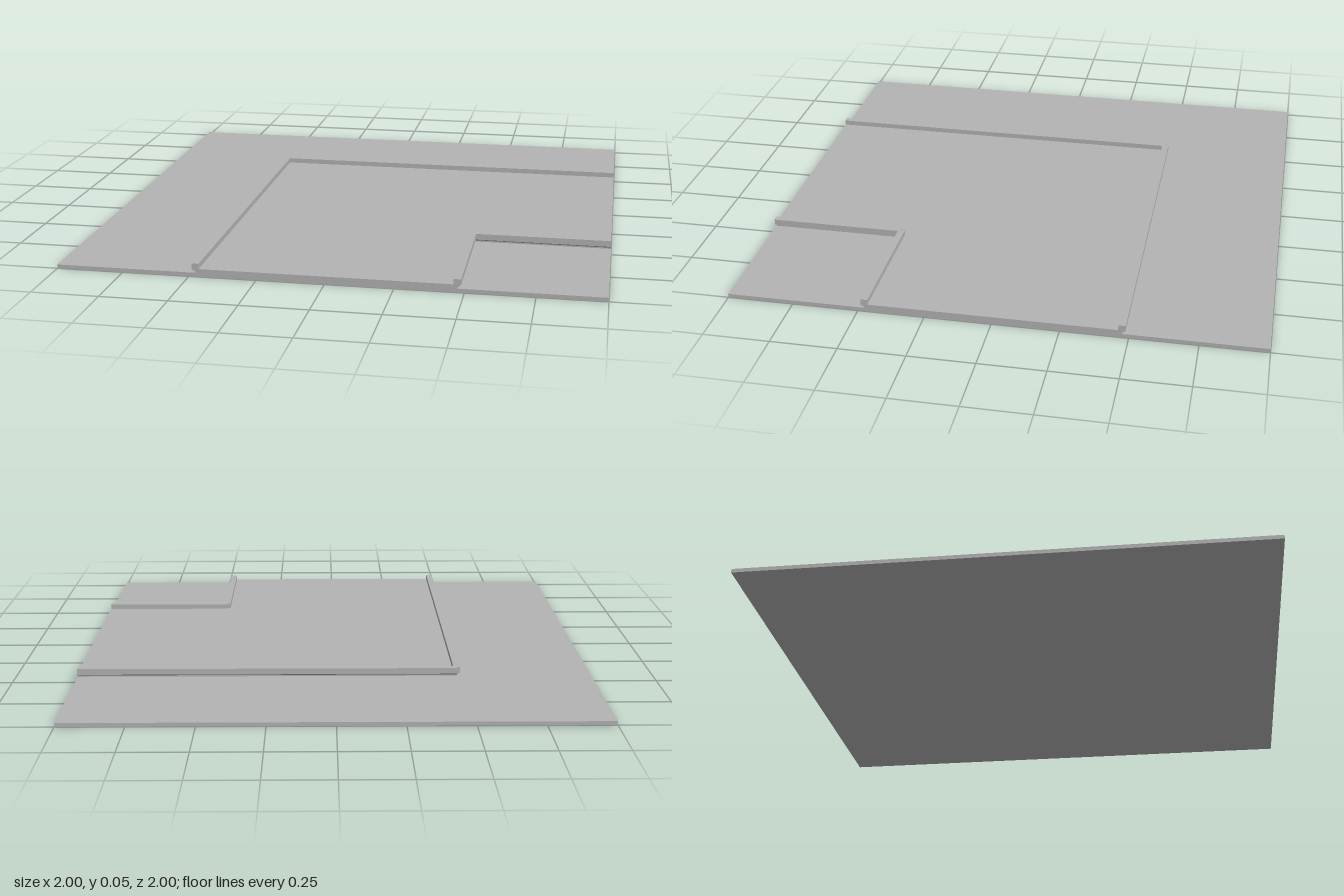
import * as THREE from 'three';

export function createModel() {
  const group = new THREE.Group();
  const grey = new THREE.MeshStandardMaterial({ color: 0xb4b4b4 });
  grey.name = 'concreteGrey';

  const add = (name, geometry) => {
    const mesh = new THREE.Mesh(geometry, grey);
    mesh.name = name;
    group.add(mesh);
  };
  const polygon = (points) => new THREE.Shape(points.map(([x, y]) => new THREE.Vector2(x, y)));

  const SLAB = 0.015, ROAD = 0.03, TOP = 0.05, EDGE = 0.475, HALF = 0.013;

  // Thin square ground slab
  add('groundSlab', new THREE.BoxGeometry(2, SLAB, 2).translate(0, SLAB / 2, 0));

  // Raised L-shaped road bend
  const bend = polygon([[-EDGE, -EDGE], [1, -EDGE], [1, EDGE], [EDGE, EDGE], [EDGE, 1], [-EDGE, 1]]);
  add('roadBend', new THREE.ExtrudeGeometry(bend, { depth: ROAD - SLAB, bevelEnabled: false })
    .rotateX(Math.PI / 2).translate(0, ROAD, 0));

  // Kerb strip from the corner at c to the tile edge; its sloped lip overhangs towards `side`
  const kerb = (c, side, alongX) => {
    const flip = alongX ? -1 : 1;
    const outer = c + side * HALF, inner = c - side * HALF;
    const profile = polygon([[inner, 0.02], [inner, TOP], [outer, TOP], [outer, 0.027], [c, 0.02]]
      .map(([x, y]) => [x * flip, y]));
    const geometry = new THREE.ExtrudeGeometry(profile, { depth: 1 - c, bevelEnabled: false }).translate(0, 0, c);
    return alongX ? geometry.rotateY(Math.PI / 2) : geometry;
  };

  for (const [name, c, side] of [['outerKerb', -EDGE, -1], ['innerKerb', EDGE, 1]]) {
    add(name + 'Side', kerb(c, side, false));
    add(name + 'Back', kerb(c, side, true));
  }
  return group;
}
